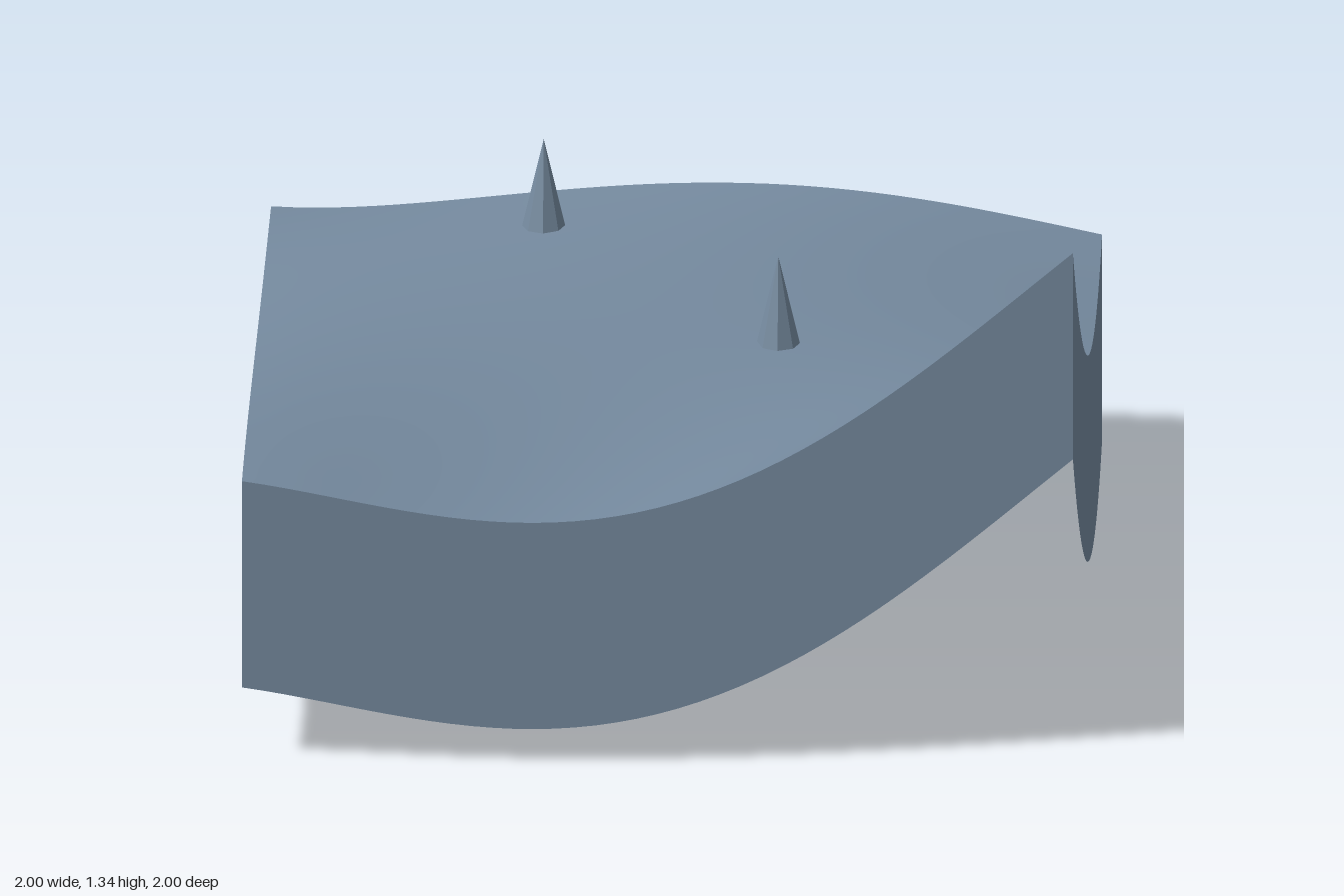
import * as THREE from 'three';

const SEGMENTS = 40;
const DEPTH = 0.535;

// Smooth curve through five evenly spaced heights on [-1, 1]
const KNOTS = [-1, -0.5, 0, 0.5, 1];
const edgeCurve = (heights) => (t) =>
  heights.reduce((sum, h, i) => {
    let w = h;
    KNOTS.forEach((k, j) => { if (j !== i) w *= (t - k) / (KNOTS[i] - k); });
    return sum + w;
  }, 0);

// Height profiles of the four borders
const front = edgeCurve([0.72, 0.633, 0.665, 0.922, 1.34]);
const back = edgeCurve([0.625, 0.655, 0.70, 0.675, 0.58]);
const left = edgeCurve([0.58, 0.54, 0.67, 0.943, 1.34]);
const right = edgeCurve([0.625, 0.65, 0.682, 0.714, 0.72]);

// Ground height: patch blended from the borders plus a gentle inner swell
function groundHeight(x, z) {
  const u = (x + 1) / 2, v = (z + 1) / 2;
  const mix = THREE.MathUtils.lerp;
  const acrossX = mix(right(z), left(z), u);
  const acrossZ = mix(back(x), front(x), v);
  const corners = mix(mix(right(-1), left(-1), u), mix(right(1), left(1), u), v);
  const swell = (1 - x * x) * (1 - z * z) * (0.09 - 0.068 * (x + z));
  return acrossX + acrossZ - corners + swell;
}

// Moves every vertex of a geometry by a rule
function reshape(geometry, rule) {
  const p = geometry.attributes.position;
  for (let i = 0; i < p.count; i++) p.setXYZ(i, ...rule(p.getX(i), p.getY(i), p.getZ(i)));
  geometry.computeVertexNormals();
  return geometry;
}

export function createModel() {
  const model = new THREE.Group();
  model.name = 'terrainTile';
  const slate = new THREE.MeshStandardMaterial({ color: 0x768ba0, side: THREE.DoubleSide });
  slate.name = 'slateBlue';
  const facetedSlate = slate;

  const add = (name, geometry, material = slate) => {
    const mesh = new THREE.Mesh(geometry, material);
    mesh.name = name;
    model.add(mesh);
    return mesh;
  };

  // Rolling ground surface
  const ground = new THREE.PlaneGeometry(2, 2, SEGMENTS, SEGMENTS).rotateX(-Math.PI / 2);
  add('ground', reshape(ground, (x, y, z) => [x, groundHeight(x, z), z]));

  // Skirt walls around the open underside
  const sides = {
    frontWall: (t) => [t, 1],
    leftWall: (t) => [1, -t],
    backWall: (t) => [-t, -1],
    rightWall: (t) => [-1, t],
  };
  for (const [name, place] of Object.entries(sides)) {
    const wall = new THREE.PlaneGeometry(2, 1, SEGMENTS, 1);
    add(name, reshape(wall, (t, y) => {
      const [x, z] = place(t);
      return [x, groundHeight(x, z) - (y < 0 ? DEPTH : 0), z];
    }));
  }

  // Faceted spikes standing on the ground
  const height = 0.225;
  const spike = new THREE.ConeGeometry(0.052, height, 8).toNonIndexed();
  spike.computeVertexNormals();
  for (const [x, z] of [[0.25, -0.165], [-0.335, -0.75]]) {
    add('spike', spike, facetedSlate).position.set(x, groundHeight(x, z) + height / 2, z);
  }

  return model;
}
